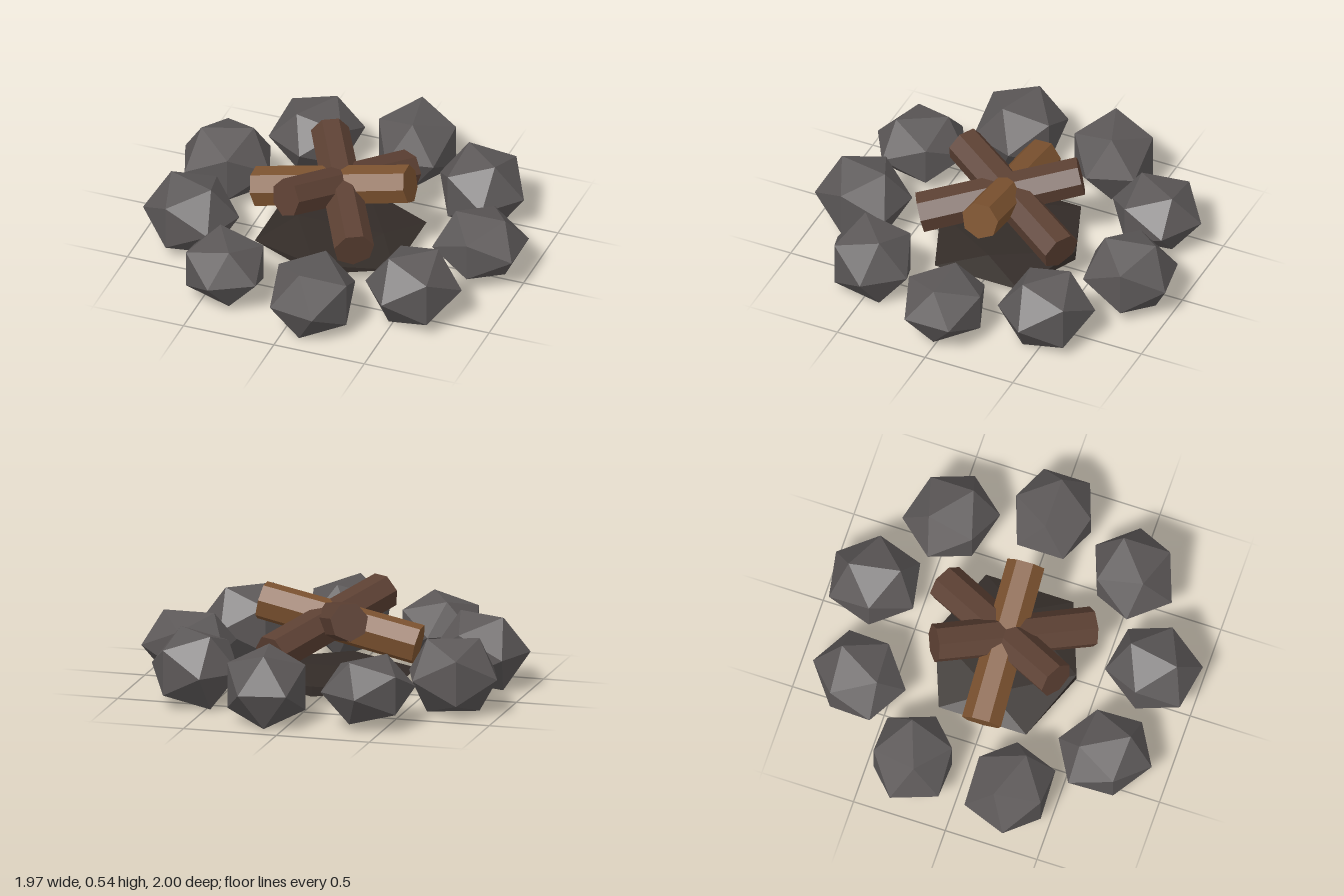
import * as THREE from 'three';

const CENTER_X = -0.011;

const flat = (color) => new THREE.MeshStandardMaterial({ color, flatShading: true });

export function createModel() {
  const model = new THREE.Group();
  model.name = 'campfire';

  const ring = new THREE.Group();
  ring.position.x = CENTER_X;
  model.add(ring);

  const add = (name, geometry, material, parent = ring) => {
    const mesh = new THREE.Mesh(geometry, material);
    mesh.name = name;
    parent.add(mesh);
    return mesh;
  };

  // Ring of nine faceted stones; every third one is lower
  const rock = new THREE.IcosahedronGeometry(1, 0);
  const stoneMaterial = flat(0x5c5858);
  const COUNT = 9, RADIUS = 0.773;
  for (let i = 0; i < COUNT; i++) {
    const a = (i / COUNT) * Math.PI * 2;
    const stone = add('stone', rock, stoneMaterial);
    stone.position.set(Math.cos(a) * RADIUS, 0.196, Math.sin(a) * RADIUS);
    stone.rotation.y = a;
    stone.scale.set(0.2587, i % 3 === 0 ? 0.193 : 0.228, 0.239);
  }

  // Flattened bed of ash under the logs
  const ash = add('ashBed', rock, flat(0x332c28));
  ash.position.y = 0.083;
  ash.scale.set(0.452, 0.051, 0.452);

  // Three crossed seven-sided logs, each with its far end raised
  const logGeometry = new THREE.CylinderGeometry(0.102, 0.107, 0.855, 7, 1, false, Math.PI / 2);
  logGeometry.rotateZ(-Math.PI / 2);
  const darkWood = flat(0x5c4033), lightWood = flat(0x7d5330);
  [-2.5, 118, 240.5].forEach((degrees, i) => {
    const arm = new THREE.Group();
    arm.name = 'logArm';
    arm.rotation.y = -THREE.MathUtils.degToRad(degrees);
    ring.add(arm);
    const log = add('log', logGeometry, i === 0 ? lightWood : darkWood, arm);
    log.position.set(-0.039, 0.36, 0);
    log.rotation.z = 0.222;
  });

  return model;
}
